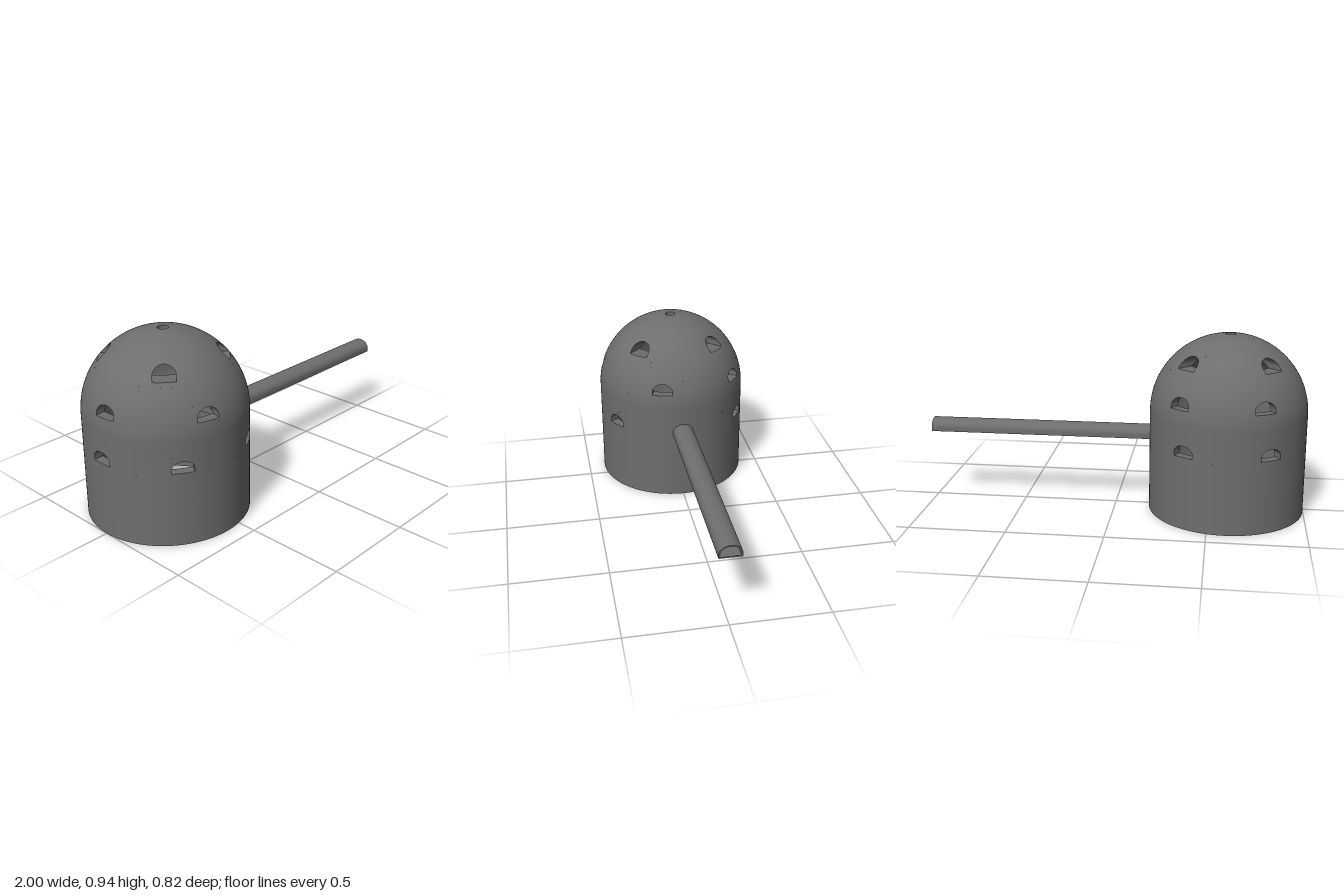
import * as THREE from 'three';
import { mergeGeometries, toCreasedNormals } from 'three/addons/utils/BufferGeometryUtils.js';

const SPRING = 0.533, STEP_Y = 0.35, FOOT_R = 0.377, VENT = 0.027;
// Shell surfaces: wall radius, dome height, foot of the wall, facing
const OUTER = { r: 0.409, dome: 0.409, foot: 0, facing: 1 };
const INNER = { r: 0.36, dome: 0.336, foot: STEP_Y, facing: -1 };
const HALF_W = 0.055, SIDE = 12;
const rad = THREE.MathUtils.degToRad, lerp = THREE.MathUtils.lerp;

// Window rows: band limits, sill height, window height, half panel angle, directions
const ROWS = [
  { y0: 0.37, y1: 0.46, sill: 0.38, h: 0.059, half: 0.2, dirs: [0, 58, 122, 180, 238, 302] },
  { y0: 0.6, y1: 0.69, sill: 0.615, h: 0.06, half: 0.22, dirs: [16, 103, 176, 243, 307] },
  { y0: 0.775, y1: 0.862, sill: 0.793, h: 0.063, half: 0.38, dirs: [44, 132, 226, 314] },
];

// Radius of a shell at a height: straight wall, then dome
const radiusAt = (s, y) => (y < SPRING ? s.r : s.r * Math.sqrt(1 - ((y - SPRING) / s.dome) ** 2));

// Height at which the vent cuts the dome
const ventHeight = s => SPRING + s.dome * Math.sqrt(1 - (VENT / s.r) ** 2);

function onShell([t, y], s) {
  const r = radiusAt(s, y);
  return [r * Math.cos(t), y, r * Math.sin(t)];
}

function gridGeometry(points, normals, flip) {
  const w = points[0].length, index = [];
  for (let j = 0; j < points.length - 1; j++) {
    for (let i = 0; i < w - 1; i++) {
      const a = j * w + i, b = a + 1, c = a + w, d = c + 1;
      if (flip) index.push(a, b, c, b, d, c);
      else index.push(a, c, b, b, c, d);
    }
  }
  const g = new THREE.BufferGeometry();
  g.setAttribute('position', new THREE.Float32BufferAttribute(points.flat(2), 3));
  if (normals) g.setAttribute('normal', new THREE.Float32BufferAttribute(normals.flat(2), 3));
  g.setIndex(index);
  return g;
}

// Patch of a shell from rows of [angle, height], smooth normals
function skin(rows, s) {
  const points = rows.map(row => row.map(p => onShell(p, s)));
  const normals = points.map(row => row.map(([x, y, z]) =>
    new THREE.Vector3(x, Math.max(0, y - SPRING) * (s.r / s.dome) ** 2, z)
      .normalize().multiplyScalar(s.facing).toArray()));
  return gridGeometry(points, normals, s.facing < 0);
}

// Plain patch between two angles and two heights; ease 2 crowds rows to the top
function plain(a, b, y0, y1, s, ease) {
  const n = Math.max(2, Math.ceil((b - a) / 0.04)), rows = [];
  for (let j = 0; j <= SIDE; j++) {
    const y = y1 - (y1 - y0) * (1 - j / SIDE) ** ease;
    rows.push(Array.from({ length: n + 1 }, (_, i) => [lerp(a, b, i / n), y]));
  }
  return skin(rows, s);
}

// Closed outline of an arched window as [sideways, height]
function windowOutline({ sill, h }) {
  const jamb = h * 0.3, pts = [];
  for (let i = 0; i < SIDE; i++) pts.push([lerp(-HALF_W, HALF_W, i / SIDE), sill]);
  for (let i = 0; i < SIDE; i++) pts.push([HALF_W, sill + jamb * i / SIDE]);
  for (let i = 0; i < SIDE; i++) {
    const a = Math.PI * i / SIDE;
    pts.push([HALF_W * Math.cos(a), sill + jamb + (h - jamb) * Math.sin(a)]);
  }
  for (let i = 0; i <= SIDE; i++) pts.push([-HALF_W, sill + jamb * (1 - i / SIDE)]);
  return pts;
}

function panelOutline({ y0, y1, half }) {
  const corners = [[-half, y0], [half, y0], [half, y1], [-half, y1]], pts = [];
  corners.forEach((p, k) => {
    const q = corners[(k + 1) % 4];
    for (let i = 0; i < SIDE; i++) pts.push([lerp(p[0], q[0], i / SIDE), lerp(p[1], q[1], i / SIDE)]);
  });
  pts.push(corners[0]);
  return pts;
}

// Window edge laid onto a shell as [angle, height]
const windowOn = (row, dir, s) =>
  windowOutline(row).map(([u, y]) => [dir + Math.asin(u / radiusAt(s, y)), y]);

// Panel surrounding one window
function panel(row, dir, s) {
  const outer = panelOutline(row).map(([t, y]) => [dir + t, y]);
  const hole = windowOn(row, dir, s), loops = [];
  for (let k = 0; k <= 6; k++) {
    loops.push(outer.map((p, i) => [lerp(p[0], hole[i][0], k / 6), lerp(p[1], hole[i][1], k / 6)]));
  }
  return skin(loops, s);
}

function shell(s) {
  const parts = [], full = Math.PI * 2;
  let y = s.foot;
  for (const row of ROWS) {
    parts.push(plain(0, full, y, row.y0, s, 1));
    row.dirs.forEach((deg, i) => {
      const next = i + 1 < row.dirs.length ? row.dirs[i + 1] : row.dirs[0] + 360;
      parts.push(panel(row, rad(deg), s));
      parts.push(plain(rad(deg) + row.half, rad(next) - row.half, row.y0, row.y1, s, 1));
    });
    y = row.y1;
  }
  parts.push(plain(0, full, y, ventHeight(s), s, 2));
  return mergeGeometries(parts);
}

export function createModel() {
  const model = new THREE.Group();
  const material = new THREE.MeshStandardMaterial({ color: 0x6e6e6e, side: THREE.DoubleSide });
  const add = (name, geometry, parent = model) => {
    const mesh = new THREE.Mesh(geometry, material);
    mesh.name = name;
    parent.add(mesh);
  };

  // Hollow domed body
  const body = new THREE.Group();
  body.name = 'domedBody';
  body.position.x = -1 + OUTER.r;
  model.add(body);
  add('outerShell', shell(OUTER), body);
  add('innerShell', shell(INNER), body);

  // Window linings through the wall
  const linings = [];
  for (const row of ROWS) {
    for (const deg of row.dirs) {
      const loops = [OUTER, INNER].map(s => windowOn(row, rad(deg), s).map(p => onShell(p, s)));
      linings.push(toCreasedNormals(gridGeometry(loops, null, false), 0.6));
    }
  }
  add('windowLinings', mergeGeometries(linings), body);

  // Lining of the vent at the crown
  const low = ventHeight(INNER), high = ventHeight(OUTER);
  const vent = new THREE.CylinderGeometry(VENT, VENT, high - low, 40, 1, true);
  vent.translate(0, (low + high) / 2, 0);
  add('ventLining', vent, body);

  // Wider foot of the inner wall, with its bottom rim and the step above it
  const foot = [[OUTER.r, 0], [FOOT_R, 0], [FOOT_R, STEP_Y], [INNER.r, STEP_Y]];
  add('innerFoot', toCreasedNormals(
    new THREE.LatheGeometry(foot.map(p => new THREE.Vector2(...p)), 120), 0.6), body);

  // Entrance tunnel: hollow arched tube towards +x
  const arch = (w, y0, spring, top, Type) => {
    const s = new Type();
    s.moveTo(-w, y0);
    s.lineTo(w, y0);
    s.lineTo(w, spring);
    s.absellipse(0, spring, w, top - spring, 0, Math.PI, false, 0);
    s.closePath();
    return s;
  };
  const section = arch(0.056, 0.378, 0.399, 0.443, THREE.Shape);
  section.holes.push(arch(0.049, 0.385, 0.399, 0.437, THREE.Path));
  const start = -0.225;
  const tunnel = new THREE.ExtrudeGeometry(section, { depth: 1 - start, bevelEnabled: false, curveSegments: 24 });
  tunnel.rotateY(Math.PI / 2);
  tunnel.translate(start, 0, 0);
  add('entranceTunnel', toCreasedNormals(tunnel, 0.6));

  return model;
}
